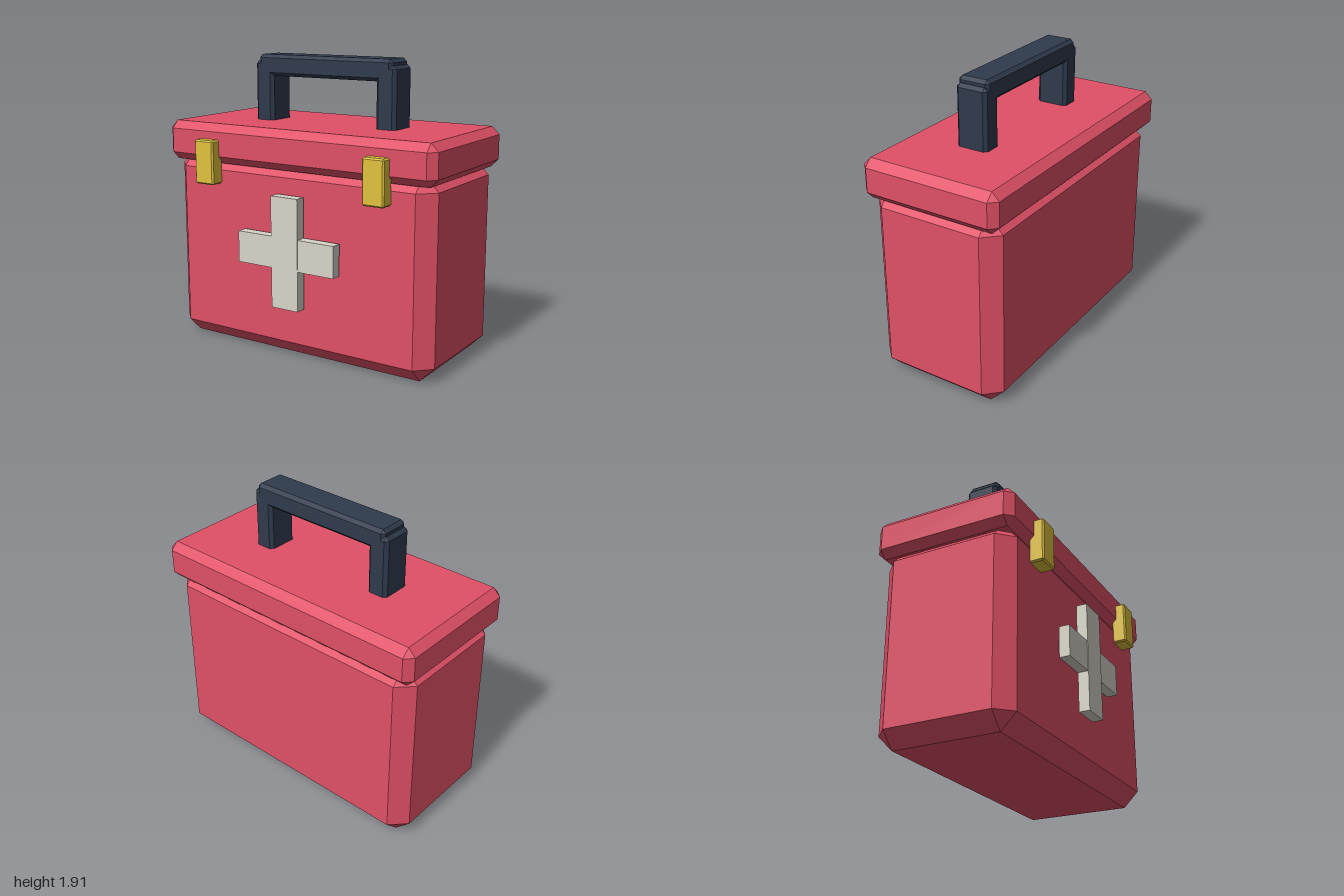
import * as THREE from 'three';
import { ConvexGeometry } from 'three/addons/geometries/ConvexGeometry.js';

const mat = (color) => new THREE.MeshStandardMaterial({ color, flatShading: true });

// Box between two corners with every edge cut at 45 degrees by c
function chamferBox([x0, y0, z0], [x1, y1, z1], c) {
  const half = new THREE.Vector3(x1 - x0, y1 - y0, z1 - z0).multiplyScalar(0.5);
  const points = [];
  for (const sx of [-1, 1]) for (const sy of [-1, 1]) for (const sz of [-1, 1]) {
    const { x, y, z } = half;
    points.push(
      new THREE.Vector3(sx * x, sy * (y - c), sz * (z - c)),
      new THREE.Vector3(sx * (x - c), sy * y, sz * (z - c)),
      new THREE.Vector3(sx * (x - c), sy * (y - c), sz * z),
    );
  }
  return new ConvexGeometry(points).translate((x0 + x1) / 2, (y0 + y1) / 2, (z0 + z1) / 2);
}

function plainBox([x0, y0, z0], [x1, y1, z1]) {
  return new THREE.BoxGeometry(x1 - x0, y1 - y0, z1 - z0)
    .translate((x0 + x1) / 2, (y0 + y1) / 2, (z0 + z1) / 2);
}

export function createModel() {
  const group = new THREE.Group();
  const red = mat(0xe05066);
  const navy = mat(0x2f3a4c);
  const yellow = mat(0xe0c23e);
  const ivory = mat(0xd9d5c8);

  const add = (name, geometry, material, parent = group) => {
    const mesh = new THREE.Mesh(geometry, material);
    mesh.name = name;
    parent.add(mesh);
  };

  // Case: the body's top chamfer runs up inside the lid
  add('body', chamferBox([-0.97, 0, -0.48], [0.97, 1.28, 0.42], 0.1), red);
  add('lid', chamferBox([-1, 1.22, -0.51], [1, 1.48, 0.445], 0.05), red);

  // Handle: two posts and a crossbar standing slightly above them
  const handle = new THREE.Group();
  handle.name = 'handle';
  group.add(handle);
  add('handleBar', chamferBox([-0.508, 1.775, -0.14], [0.508, 1.915, 0.075], 0.022), navy, handle);
  add('leftHandlePost', chamferBox([0.393, 1.45, -0.14], [0.535, 1.875, 0.075], 0.022), navy, handle);
  add('rightHandlePost', chamferBox([-0.535, 1.45, -0.14], [-0.393, 1.875, 0.075], 0.022), navy, handle);

  // Latches over the lid seam
  add('leftLatch', chamferBox([0.56, 1.09, 0.41], [0.71, 1.38, 0.51], 0.01), yellow);
  add('rightLatch', chamferBox([-0.71, 1.09, 0.41], [-0.56, 1.38, 0.51], 0.01), yellow);

  // Raised cross on the front
  const cross = new THREE.Group();
  cross.name = 'cross';
  group.add(cross);
  add('crossUpright', plainBox([-0.1, 0.35, 0.436], [0.1, 1.075, 0.508]), ivory, cross);
  add('crossArm', plainBox([-0.362, 0.61, 0.434], [0.362, 0.815, 0.504]), ivory, cross);

  return group;
}
